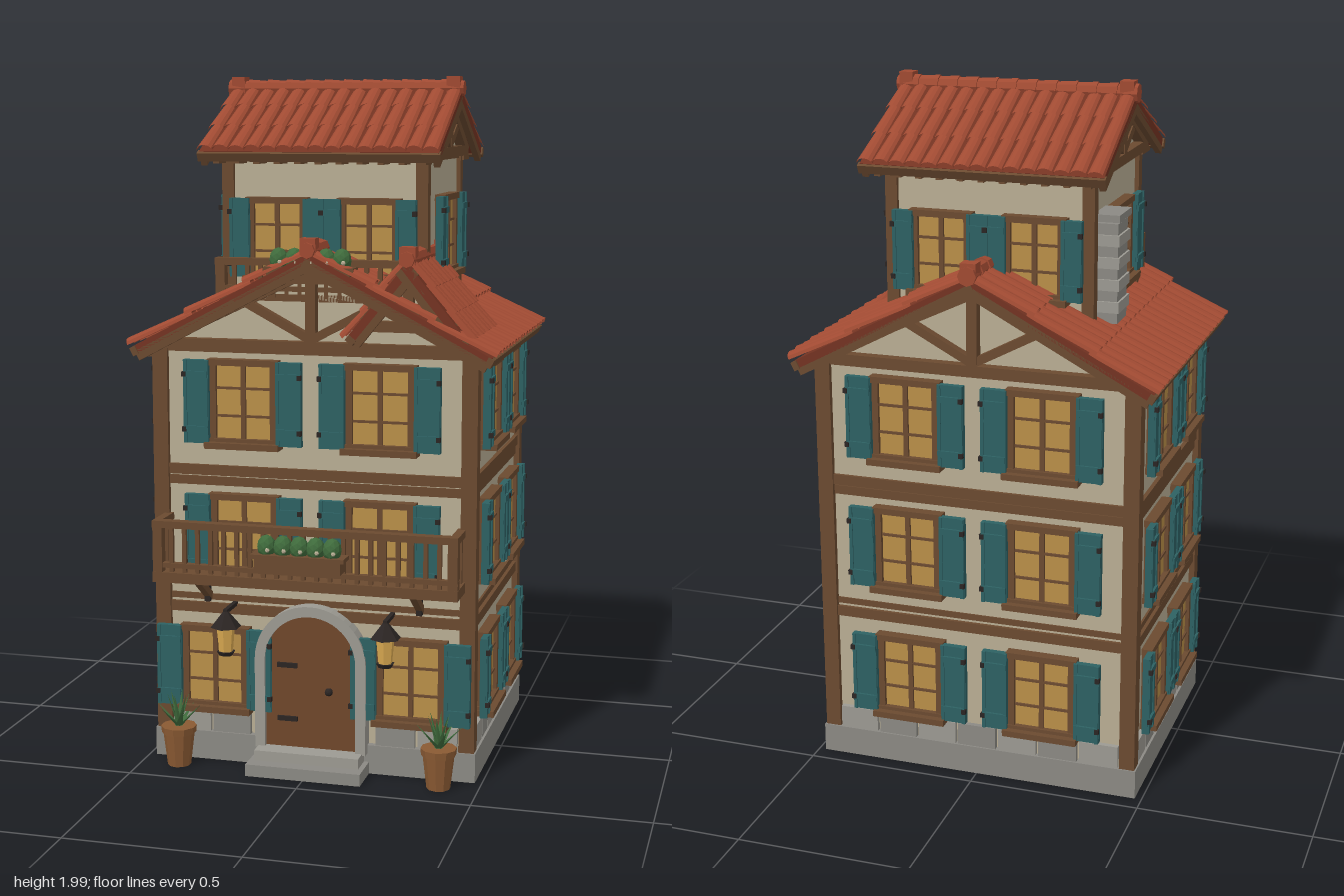
import * as THREE from 'three';
import { mergeGeometries } from 'three/addons/utils/BufferGeometryUtils.js';

const mat = (color, side = THREE.FrontSide) => new THREE.MeshStandardMaterial({ color, side, flatShading: true });
const M = {
  wall: mat(0xb9ae94), wood: mat(0x6b4a30), teal: mat(0x2d6163), glass: mat(0xb98f48), door: mat(0x70472b),
  stone: mat(0x8b8983), stone2: mat(0x9c9a92), tile: mat(0xa04a32, THREE.DoubleSide), slab: mat(0x743322),
  dark: mat(0x2b2523), pot: mat(0x8a5a33), leaf: mat(0x3f6b3c, THREE.DoubleSide), lamp: mat(0xd9a850),
};

function add(parent, name, geo, m, x = 0, y = 0, z = 0) {
  const mesh = new THREE.Mesh(geo, m);
  mesh.name = name;
  mesh.position.set(x, y, z);
  parent.add(mesh);
  return mesh;
}
const box = (p, name, m, w, h, d, x, y, z) => add(p, name, new THREE.BoxGeometry(w, h, d), m, x, y, z);

function group(parent, name, x = 0, y = 0, z = 0, ry = 0) {
  const g = new THREE.Group();
  g.name = name;
  g.position.set(x, y, z);
  g.rotation.y = ry;
  parent.add(g);
  return g;
}

// Straight timber between two points of a wall plane
function beam(p, name, x1, y1, x2, y2, z, t = 0.03, d = 0.03) {
  const b = box(p, name, M.wood, Math.hypot(x2 - x1, y2 - y1), t, d, (x1 + x2) / 2, (y1 + y2) / 2, z);
  b.rotation.z = Math.atan2(y2 - y1, x2 - x1);
}

// Wall block with gables on both z ends
function gableBlock(p, name, hw, y0, ye, ya, depth) {
  const s = new THREE.Shape([[-hw, y0], [hw, y0], [hw, ye], [0, ya], [-hw, ye]].map(([x, y]) => new THREE.Vector2(x, y)));
  add(p, name, new THREE.ExtrudeGeometry(s, { depth, bevelEnabled: false }), M.wall, 0, 0, -depth / 2);
}

// Timber truss on a gable
function truss(p, hw, ye, ya, z) {
  beam(p, 'tieBeam', -hw, ye, hw, ye, z, 0.03);
  beam(p, 'kingPost', 0, ye, 0, ya, z, 0.03);
  for (const s of [-1, 1]) {
    beam(p, 'gableStrut', 0, ye + 0.02, s * hw * 0.42, ye + (ya - ye) * 0.56, z, 0.024, 0.026);
    beam(p, 'gableRafter', s * hw, ye, 0, ya, z, 0.026);
  }
}

// Gable roof with overlapping barrel tiles, ridge along z
function roof(p, name, hs, len, ye, yr, cols, rows, x, z, ry = 0) {
  const g = group(p, name, x, 0, z, ry);
  const L = Math.hypot(hs, yr - ye), a = Math.atan2(yr - ye, hs), step = len / cols, rl = L / rows;
  const tiles = [];
  for (let c = 0; c < cols; c++) for (let r = 0; r < rows; r++) {
    const t = new THREE.CylinderGeometry(step * 0.43, step * 0.52, rl + 0.02, 6, 1, true, 0, Math.PI);
    t.rotateZ(Math.PI / 2).scale(1, 0.75, 1).rotateZ(0.05);
    t.translate((r + 0.5) * rl, 0.004 + 0.002 * (c % 2), (c + 0.5) * step - len / 2);
    tiles.push(t);
  }
  const tileGeo = mergeGeometries(tiles);
  for (const turn of [0, Math.PI]) {
    const side = group(g, 'roofSide', 0, yr, 0, turn);
    const slope = group(side, 'roofSlope');
    slope.rotation.z = -a;
    box(slope, 'roofBoard', M.slab, L, 0.024, len - 0.006, L / 2, -0.012, 0);
    add(slope, 'roofTiles', tileGeo, M.tile);
    for (const s of [-1, 1]) box(slope, 'bargeBoard', M.wood, L, 0.03, 0.018, L / 2, -0.03, s * (len / 2 - 0.012));
    box(slope, 'eaveFascia', M.wood, 0.018, 0.026, len + 0.004, L, -0.014, 0);
  }
  // Ridge caps
  const n = Math.round(len / 0.06), caps = [];
  for (let i = 0; i < n; i++) {
    const c = new THREE.CylinderGeometry(0.022, 0.027, len / n + 0.01, 8);
    caps.push(c.rotateX(Math.PI / 2).translate(0, yr + 0.008, (i + 0.5) * len / n - len / 2));
  }
  add(g, 'ridgeCaps', mergeGeometries(caps), M.tile);
  for (const s of [-1, 1]) box(g, 'ridgeEnd', M.tile, 0.045, 0.05, 0.04, 0, yr + 0.017, s * (len / 2 - 0.025));
  return g;
}

// Shuttered window standing on a wall plane
function windowUnit(p, x, y, w, h, sw, off) {
  const g = group(p, 'window', x, y, 0);
  box(g, 'pane', M.glass, w, h, 0.02, 0, 0, 0.006);
  for (const s of [-1, 1]) {
    box(g, 'frameSide', M.wood, 0.018, h, 0.036, s * (w / 2 - 0.006), 0, 0.01);
    box(g, 'frameRail', M.wood, w + 0.02, 0.018, 0.04, 0, s * (h / 2 - 0.006), 0.012);
    box(g, 'glazingBar', M.wood, w, 0.007, 0.01, 0, s * h / 6, 0.017);
    const sh = group(g, 'shutter', s * off, 0, 0.028);
    box(sh, 'shutterPanel', M.teal, sw, h, 0.018, 0, 0, 0);
    for (const k of [-1, 1]) {
      box(sh, 'shutterBatten', M.teal, sw * 0.95, 0.018, 0.012, 0, k * h * 0.33, 0.01);
      box(sh, 'shutterStile', M.teal, 0.01, h, 0.008, k * (sw / 2 - 0.006), 0, 0.009);
      box(sh, 'hinge', M.dark, 0.012, 0.014, 0.012, s * sw * 0.45, k * h * 0.33, 0.014);
    }
  }
  box(g, 'mullion', M.wood, 0.014, h, 0.012, 0, 0, 0.018);
  box(g, 'sill', M.wood, w + 0.03, 0.018, 0.055, 0, -h / 2 - 0.004, 0.024);
}

// Box planter with a row of bushes
function planter(p, x, y, z, w) {
  const g = group(p, 'planter', x, y, z);
  box(g, 'planterBox', M.wood, w, 0.04, 0.055, 0, 0, 0);
  box(g, 'planterRim', M.wood, w + 0.02, 0.012, 0.062, 0, 0.02, 0);
  for (let i = 0; i < 5; i++) {
    const b = add(g, 'bush', new THREE.IcosahedronGeometry(0.027, 1), M.leaf, (i - 2) * w * 0.19, 0.045, 0);
    b.scale.y = 1.25;
    add(g, 'blossom', new THREE.IcosahedronGeometry(0.007, 0), M.wall, (i - 2) * w * 0.19 + 0.01, 0.04, 0.027);
  }
}

// Railing with balusters along x
function railing(p, w, y, h, z, n) {
  const g = group(p, 'railing', 0, y, z);
  box(g, 'topRail', M.wood, w, 0.02, 0.03, 0, h, 0);
  box(g, 'bottomRail', M.wood, w, 0.014, 0.02, 0, 0.025, 0);
  for (let i = 0; i <= n; i++) {
    const t = i % n ? 0.012 : 0.028;
    box(g, 'baluster', M.wood, t, h, t, (i / n - 0.5) * (w - 0.03), h / 2, 0);
  }
}

function archShape(r, y0, yc) {
  const s = new THREE.Shape();
  s.moveTo(-r, y0);
  s.lineTo(r, y0);
  s.lineTo(r, yc);
  s.absarc(0, yc, r, 0, Math.PI, false);
  s.closePath();
  return s;
}

export function createModel() {
  const model = new THREE.Group();
  model.name = 'townhouse';
  const house = group(model, 'house', 0, 0, -0.06);

  // Stone base, walls, posts and floor bands
  box(house, 'plinth', M.stone, 0.96, 0.085, 0.78, 0, 0.0425, 0);
  gableBlock(house, 'mainWalls', 0.458, 0.08, 1.22, 1.462, 0.74);
  for (const sx of [-1, 1]) for (const sz of [-1, 1]) box(house, 'cornerPost', M.wood, 0.045, 1.14, 0.045, sx * 0.453, 0.655, sz * 0.363);
  for (const [y, h, e] of [[0.867, 0.03, 0.01], [0.835, 0.026, 0.004], [0.49, 0.018, 0.004], [0.458, 0.03, 0.01], [1.225, 0.03, 0.008]])
    box(house, 'floorBand', M.wood, 0.92 + 2 * e, h, 0.74 + 2 * e, 0, y, 0);

  // Four faces: stone course and windows
  for (let k = 0; k < 4; k++) {
    const isSide = k % 2 === 1;
    const face = group(house, 'face', 0, 0, 0, k * Math.PI / 2);
    const half = isSide ? 0.34 : 0.43, dist = isSide ? 0.458 : 0.37;
    for (let i = 0; i < 7; i++) {
      const w = 2 * half / 7, x = -half + (i + 0.5) * w;
      if (k === 0 && Math.abs(x) < 0.16) continue;
      box(face, 'stoneBlock', i % 2 ? M.stone : M.stone2, w - 0.008, 0.068, 0.03, x, 0.117, dist);
    }
    const wall = group(face, 'windows', 0, 0, dist);
    for (const y of [0.285, 0.68, 1.07]) for (const s of [-1, 1]) {
      if (isSide) windowUnit(wall, s * 0.155, y, 0.185, 0.235, 0.06, 0.128);
      else windowUnit(wall, s * (k === 0 && y < 0.4 ? 0.292 : 0.2), y, 0.19, 0.24, 0.075, 0.137);
    }
    if (!isSide) truss(face, 0.45, 1.235, 1.45, 0.385);
    // Rafter tails under the side eaves
    else for (let i = 0; i < 12; i++) box(face, 'rafterTail', M.wood, 0.018, 0.026, 0.06, (i - 5.5) * 0.068, 1.205, 0.475);
  }
  roof(house, 'mainRoof', 0.52, 0.86, 1.225, 1.5, 17, 3, 0, 0);

  // Small front dormer
  const dormer = group(house, 'dormer', 0.28, 0, 0.24);
  gableBlock(dormer, 'dormerWalls', 0.12, 1.22, 1.3, 1.45, 0.28);
  truss(dormer, 0.13, 1.3, 1.44, 0.15);
  roof(dormer, 'dormerRoof', 0.17, 0.36, 1.27, 1.48, 8, 3, 0, 0);

  // Upper storey, its ridge across the house
  const tower = group(house, 'tower');
  const across = group(tower, 'towerBody', 0, 0, 0, Math.PI / 2);
  gableBlock(across, 'towerWalls', 0.24, 1.22, 1.765, 1.915, 0.58);
  for (const sx of [-1, 1]) for (const sz of [-1, 1]) box(tower, 'towerPost', M.wood, 0.035, 0.52, 0.035, sx * 0.285, 1.5, sz * 0.235);
  box(tower, 'towerBand', M.wood, 0.595, 0.025, 0.495, 0, 1.76, 0);
  roof(tower, 'towerRoof', 0.325, 0.7, 1.775, 1.945, 15, 3, 0, 0, Math.PI / 2);
  for (let k = 0; k < 4; k++) {
    const isSide = k % 2 === 1;
    const face = group(tower, 'towerFace', 0, 0, 0, k * Math.PI / 2);
    const wall = group(face, 'towerWindows', 0, 0, isSide ? 0.29 : 0.24);
    if (isSide) {
      windowUnit(wall, 0, 1.535, 0.185, 0.225, 0.075, 0.14);
      truss(face, 0.25, 1.77, 1.91, 0.305);
      for (let i = 0; i < 4; i++) box(wall, 'quoin', M.stone, 0.06 - 0.015 * (i % 2), 0.05, 0.012, 0.19, 1.42 + i * 0.055, 0);
    } else {
      for (const s of [-1, 1]) windowUnit(wall, s * 0.135, 1.53, 0.165, 0.225, 0.06, 0.109);
      for (let i = 0; i < 11; i++) box(wall, 'rafterTail', M.wood, 0.018, 0.028, 0.08, (i - 5) * 0.06, 1.755, 0.035);
    }
  }

  // Terrace in front of the upper storey
  box(house, 'terraceFloor', M.wood, 0.56, 0.02, 0.14, 0, 1.37, 0.3);
  railing(house, 0.57, 1.37, 0.1, 0.365, 14);
  planter(house, 0, 1.435, 0.395, 0.24);

  // Stone chimney stack
  for (let i = 0; i < 9; i++) box(house, 'chimneyCourse', i % 2 ? M.stone2 : M.stone, 0.06 + 0.012 * (i % 2), 0.031, 0.1 + 0.014 * (i % 2), -0.327, 1.365 + i * 0.031, -0.16);
  box(house, 'chimneyCap', M.stone, 0.075, 0.02, 0.125, -0.327, 1.645, -0.16);

  // Arched door and steps
  const ring = archShape(0.165, 0.06, 0.325);
  ring.holes.push(archShape(0.135, 0.061, 0.325));
  add(house, 'doorSurround', new THREE.ExtrudeGeometry(ring, { depth: 0.05, bevelEnabled: false, curveSegments: 12 }), M.stone2, 0, 0, 0.365);
  add(house, 'door', new THREE.ExtrudeGeometry(archShape(0.137, 0.06, 0.325), { depth: 0.035, bevelEnabled: false }), M.door, 0, 0, 0.365);
  for (const y of [0.15, 0.31]) box(house, 'doorHinge', M.dark, 0.06, 0.014, 0.01, -0.07, y, 0.402);
  add(house, 'doorKnob', new THREE.IcosahedronGeometry(0.012, 1), M.dark, 0.055, 0.24, 0.408);
  box(house, 'lowerStep', M.stone, 0.34, 0.035, 0.13, 0, 0.0175, 0.435);
  box(house, 'upperStep', M.stone2, 0.31, 0.065, 0.08, 0, 0.0325, 0.42);

  // Balcony
  box(house, 'balconyFloor', M.wood, 0.89, 0.03, 0.125, 0, 0.57, 0.43);
  railing(house, 0.89, 0.58, 0.145, 0.478, 22);
  planter(house, 0, 0.642, 0.518, 0.25);
  for (const s of [-1, 1]) {
    box(house, 'sideRail', M.wood, 0.024, 0.02, 0.11, s * 0.433, 0.725, 0.425);
    for (const z of [0.4, 0.44]) box(house, 'sideBaluster', M.wood, 0.012, 0.14, 0.012, s * 0.433, 0.65, z);
    const strut = box(house, 'balconyStrut', M.wood, 0.02, 0.02, 0.13, s * 0.315, 0.53, 0.425);
    strut.rotation.x = -0.6;
    box(house, 'strutFoot', M.dark, 0.016, 0.08, 0.016, s * 0.315, 0.52, 0.385);

    // Lantern
    const lantern = group(house, 'lantern', s * 0.235, 0, 0.465);
    box(lantern, 'lanternArm', M.dark, 0.012, 0.012, 0.1, 0, 0.475, -0.045);
    add(lantern, 'lanternRoof', new THREE.CylinderGeometry(0.008, 0.045, 0.045, 6), M.dark, 0, 0.452, 0);
    add(lantern, 'lanternGlass', new THREE.CylinderGeometry(0.027, 0.02, 0.075, 6), M.lamp, 0, 0.393, 0);
    add(lantern, 'lanternFoot', new THREE.CylinderGeometry(0.027, 0.02, 0.012, 6), M.dark, 0, 0.352, 0);

    // Potted plant
    const pot = group(house, 'pottedPlant', s * 0.387, 0, 0.45);
    add(pot, 'pot', new THREE.CylinderGeometry(0.046, 0.034, 0.1, 10), M.pot, 0, 0.05, 0);
    add(pot, 'potRim', new THREE.CylinderGeometry(0.052, 0.05, 0.02, 10), M.pot, 0, 0.108, 0);
    for (let i = 0; i < 12; i++) {
      const tilt = i % 2 ? 0.9 : 0.4;
      const leaf = new THREE.ConeGeometry(0.014, 0.1, 4).scale(1, 1, 0.4).translate(0, 0.05, 0);
      const blade = add(pot, 'leaf', leaf.rotateX(tilt).rotateY(i * Math.PI / 6), M.leaf, 0, 0.115, 0);
      blade.scale.set(0.85, 1.1, 0.85);
    }
  }
  return model;
}
